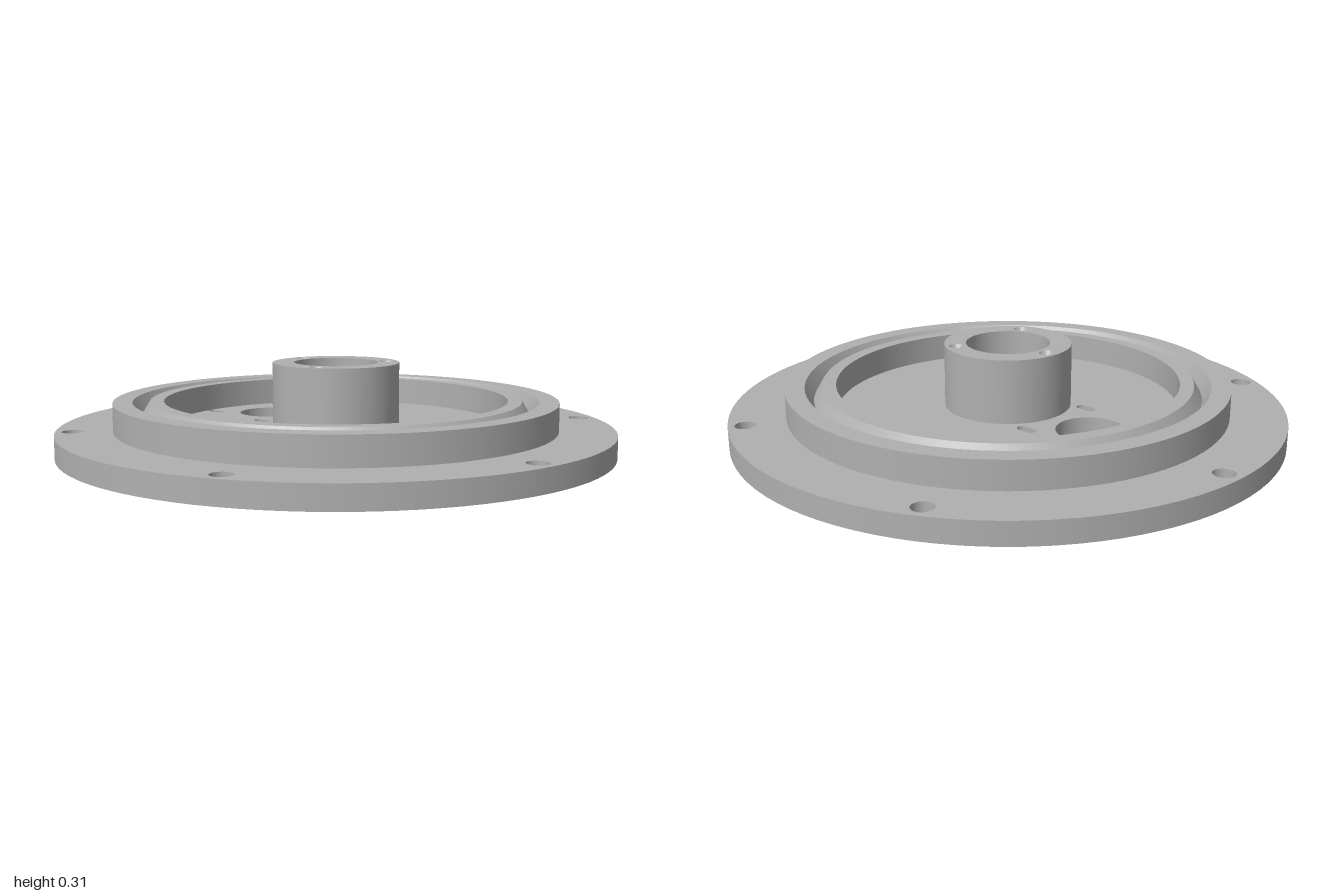
import * as THREE from 'three';

const SEG = 96;
const metal = new THREE.MeshStandardMaterial({ color: 0xb0b0b0 });
metal.name = 'grey metal';

// Levels and radii
const FLOOR = 0.08, RIM = 0.18, HUB = 0.31, BORE_R = 0.152, HUB_R = 0.23;
const SLOT_R = 0.019, SLOT_HALF = 0.02;

const polar = (r, deg) => [r * Math.cos(deg * Math.PI / 180), r * Math.sin(deg * Math.PI / 180)];
const boltSpots = [0, 60, 120, 180, 240, 300].map(a => polar(0.94, a));
const screwSpots = [60, 180, 300].map(a => polar(0.19, a));
const motorHole = [-0.4, 0];
const slotSpots = [];
for (const x of [-0.555, -0.245]) for (const z of [-0.155, 0.155]) slotSpots.push([x, z]);

function circle(x, z, r) {
  return new THREE.Path().absarc(x, z, r, 0, Math.PI * 2, false);
}

function slotPath(x, z) {
  const p = new THREE.Path();
  p.absarc(x + SLOT_HALF, z, SLOT_R, -Math.PI / 2, Math.PI / 2, false);
  p.absarc(x - SLOT_HALF, z, SLOT_R, Math.PI / 2, Math.PI * 1.5, false);
  p.closePath();
  return p;
}

function add(group, name, geometry) {
  const mesh = new THREE.Mesh(geometry, metal);
  mesh.name = name;
  group.add(mesh);
  return mesh;
}

// Flat horizontal disc with holes, facing up or down
function face(group, name, radius, holes, y, up = true) {
  const shape = new THREE.Shape().absarc(0, 0, radius, 0, Math.PI * 2, false);
  shape.holes.push(...holes);
  const g = new THREE.ShapeGeometry(shape, SEG / 2);
  g.rotateX(up ? -Math.PI / 2 : Math.PI / 2);
  g.translate(0, y, 0);
  add(group, name, g);
}

// Revolved [radius, height] profile; each segment is separate so corners stay sharp
function turned(group, name, profile, x = 0, z = 0, seg = SEG) {
  const part = new THREE.Group();
  part.name = name;
  part.position.set(x, 0, z);
  for (let i = 0; i + 1 < profile.length; i++) {
    const pts = [profile[i], profile[i + 1]].map(p => new THREE.Vector2(...p));
    add(part, name + 'Surface', new THREE.LatheGeometry(pts, seg));
  }
  group.add(part);
}

// Inner walls of a rounded slot through the floor
function slotWalls(group, x, z) {
  const part = new THREE.Group();
  part.name = 'slotWalls';
  part.position.set(x, 0, z);
  const pts = [new THREE.Vector2(SLOT_R, FLOOR), new THREE.Vector2(SLOT_R, 0)];
  for (const s of [1, -1]) {
    const end = new THREE.LatheGeometry(pts, SEG / 2, s > 0 ? 0 : Math.PI, Math.PI);
    add(part, 'slotEnd', end.translate(s * SLOT_HALF, 0, 0));
    const side = new THREE.PlaneGeometry(SLOT_HALF * 2, FLOOR);
    if (s > 0) side.rotateY(Math.PI);
    add(part, 'slotSide', side.translate(0, FLOOR / 2, s * SLOT_R));
  }
  group.add(part);
}

export function createModel() {
  const model = new THREE.Group();
  model.name = 'flangedHousing';

  // Base plate
  const base = new THREE.Group();
  base.name = 'basePlate';
  model.add(base);
  const floorHoles = () => [circle(...motorHole, 0.121), ...slotSpots.map(s => slotPath(...s))];
  face(base, 'underside', 1,
    [circle(0, 0, BORE_R), ...floorHoles(), ...boltSpots.map(b => circle(...b, 0.023))], 0, false);
  turned(base, 'flangeEdge', [[1, 0], [1, FLOOR]]);
  face(base, 'flangeTop', 1, [circle(0, 0, 0.8), ...boltSpots.map(b => circle(...b, 0.037))], FLOOR);
  face(base, 'floor', 0.62, [circle(0, 0, HUB_R), ...floorHoles()], FLOOR);
  turned(base, 'sideHole', [[0.121, FLOOR], [0.121, 0]], ...motorHole);
  for (const s of slotSpots) slotWalls(base, ...s);

  // Counterbored bolt holes
  for (const b of boltSpots)
    turned(base, 'boltHole', [[0.037, FLOOR], [0.037, 0.04], [0.023, 0.04], [0.023, 0]], ...b);

  // Raised rim with V groove
  turned(model, 'grooveRim', [[0.8, FLOOR], [0.8, RIM], [0.73, RIM], [0.7, 0.13],
    [0.67, RIM], [0.62, RIM], [0.62, FLOOR]]);

  // Central hub with bore and blind countersunk screw holes
  const hub = new THREE.Group();
  hub.name = 'hub';
  model.add(hub);
  turned(hub, 'hubWall', [[HUB_R, FLOOR], [HUB_R, HUB]]);
  face(hub, 'hubTop', HUB_R, [circle(0, 0, BORE_R), ...screwSpots.map(s => circle(...s, 0.027))], HUB);
  turned(hub, 'bore', [[BORE_R, HUB], [BORE_R, 0]]);
  for (const s of screwSpots)
    turned(hub, 'screwHole', [[0.027, HUB], [0.016, HUB - 0.02], [0.016, 0.2], [0, 0.2]], ...s);

  return model;
}
